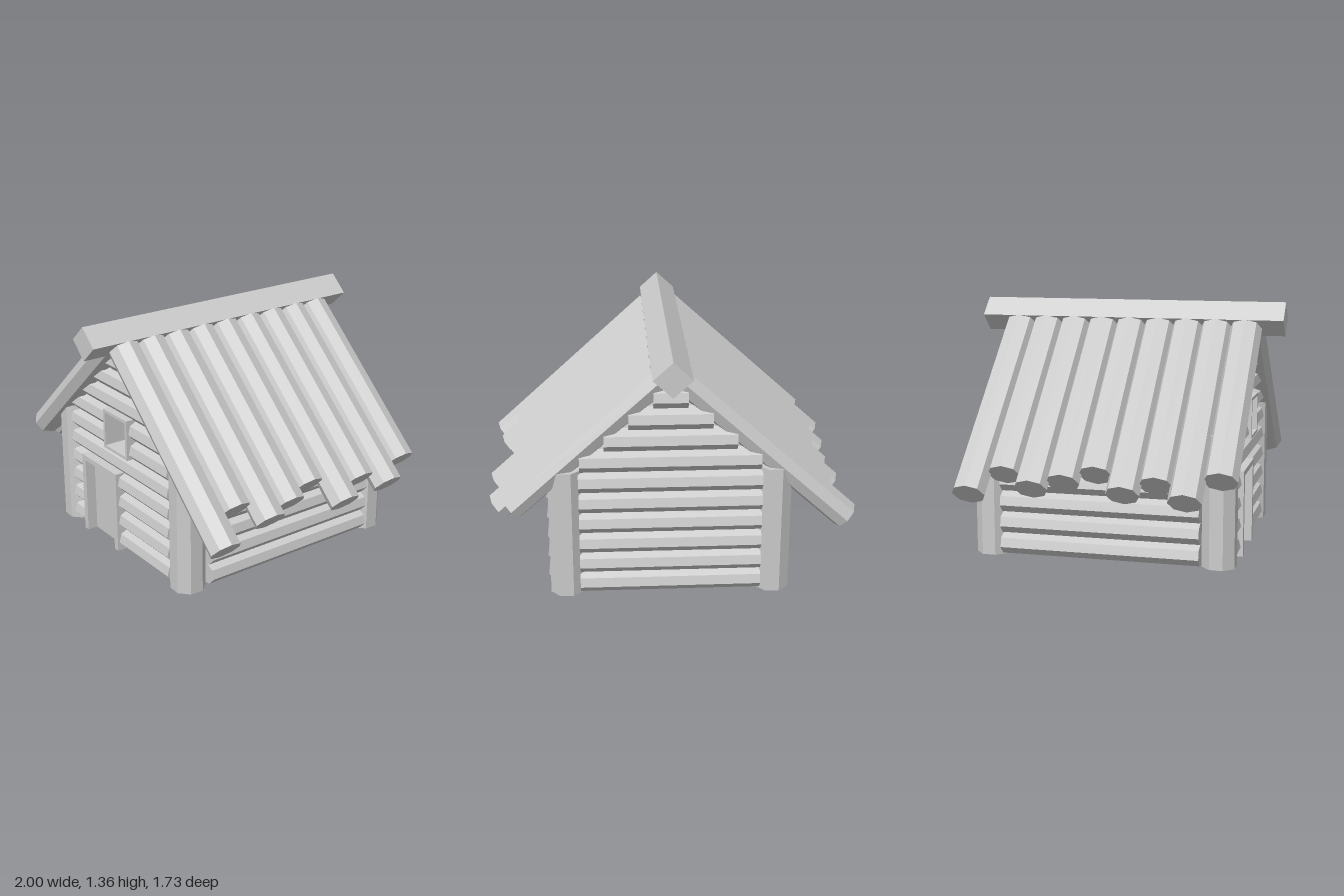
import * as THREE from 'three';

const mat = new THREE.MeshStandardMaterial({ color: 0xcccccc, flatShading: true });
const PITCH = 0.117, BASE = 0.065, SLOPE = 0.908, RIDGE_Y = 1.265;

function add(parent, name, geo, x = 0, y = 0, z = 0) {
  const m = new THREE.Mesh(geo, mat);
  m.name = name;
  m.position.set(x, y, z);
  parent.add(m);
  return m;
}

function box(parent, name, x0, x1, y0, y1, z0, z1) {
  return add(parent, name, new THREE.BoxGeometry(x1 - x0, y1 - y0, z1 - z0),
    (x0 + x1) / 2, (y0 + y1) / 2, (z0 + z1) / 2);
}

// Eight-sided wall log lying along x between x0 and x1
function wallLog(parent, x0, x1, y) {
  const geo = new THREE.CylinderGeometry(1, 1, x1 - x0, 8);
  geo.rotateY(-0.22);
  geo.scale(0.066, 1, 0.09);
  geo.rotateZ(Math.PI / 2);
  add(parent, 'wallLog', geo, (x0 + x1) / 2, y, 0);
}

// Stack of logs facing +z; spans(y, i) lists the [x0, x1] pieces of each course
function wall(parent, name, courses, spans) {
  const g = new THREE.Group();
  g.name = name;
  for (let i = 0; i < courses; i++) {
    const y = BASE + i * PITCH;
    for (const [a, b] of spans(y, i)) wallLog(g, a, b, y);
  }
  parent.add(g);
  return g;
}

export function createModel() {
  const cabin = new THREE.Group();
  cabin.name = 'logCabin';

  // Gable walls, narrowing under the roof; the front is cut for door and window
  const half = (y) => Math.min(0.485, (1.2 - y) / SLOPE);
  const front = wall(cabin, 'frontWall', 10, (y, i) => {
    const h = half(y);
    if (i < 4) return [[-h, -0.34], [-0.02, h]];
    if (i === 5 || i === 6) return [[-h, -0.1], [0.115, h]];
    return [[-h, h]];
  });
  front.position.set(-0.005, 0, 0.6);
  const back = wall(cabin, 'backWall', 10, (y) => [[-half(y), half(y)]]);
  back.position.set(-0.005, 0, -0.66);
  back.rotation.y = Math.PI;

  // Side walls
  for (const s of [-1, 1]) {
    const side = wall(cabin, s > 0 ? 'leftWall' : 'rightWall', 6, () => [[-0.548, 0.548]]);
    side.position.set(s * 0.572 - 0.005, 0, -0.0375);
    side.rotation.y = s * Math.PI / 2;
  }

  // Corner posts
  for (const x of [-0.56, 0.55]) {
    for (const z of [0.605, -0.655]) {
      const post = add(cabin, 'cornerPost', new THREE.CylinderGeometry(0.096, 0.096, 0.72, 8), x, 0.36, z);
      post.rotation.y = 0.35;
    }
  }

  // Door with frame
  const door = new THREE.Group();
  door.name = 'door';
  cabin.add(door);
  box(door, 'doorFrameSide', -0.36, -0.325, 0, 0.475, 0.52, 0.7);
  box(door, 'doorFrameSide', -0.035, 0, 0, 0.475, 0.52, 0.7);
  box(door, 'doorFrameTop', -0.325, -0.035, 0.445, 0.475, 0.52, 0.7);
  box(door, 'doorPanel', -0.325, -0.035, 0, 0.445, 0.59, 0.64);

  // Open window frame
  const outline = new THREE.Shape();
  outline.moveTo(-0.11, 0.605).lineTo(0.125, 0.605).lineTo(0.125, 0.835).lineTo(-0.11, 0.835).closePath();
  const hole = new THREE.Path();
  hole.moveTo(-0.093, 0.622).lineTo(-0.093, 0.818).lineTo(0.108, 0.818).lineTo(0.108, 0.622).closePath();
  outline.holes.push(hole);
  add(cabin, 'windowFrame', new THREE.ExtrudeGeometry(outline, { depth: 0.18, bevelEnabled: false }), 0, 0, 0.52);

  // Roof logs with uneven eaves, listed from back to front
  const reach = {
    '-1': [1.0, 0.9, 0.96, 0.925, 0.88, 0.965, 0.915, 0.985, 0.88],
    '1': [0.885, 0.965, 0.91, 0.98, 0.865, 0.91, 0.95, 0.865, 1.0],
  };
  const pitchAngle = Math.atan(SLOPE);
  for (const s of [-1, 1]) {
    const roof = new THREE.Group();
    roof.name = s > 0 ? 'leftRoof' : 'rightRoof';
    cabin.add(roof);
    reach[s].forEach((r, i) => {
      const xEnd = r - 0.052 + s * 0.005, xTop = 0.055;
      const geo = new THREE.CylinderGeometry(1, 1, (xEnd - xTop) / Math.cos(pitchAngle), 8);
      geo.scale(0.0775, 1, 0.09);
      const xm = (xEnd + xTop) / 2;
      const log = add(roof, 'roofLog', geo, s * xm - 0.005, RIDGE_Y - SLOPE * xm, (i - 4) * 0.163);
      log.rotation.z = s * (Math.PI / 2 - pitchAngle);
    });
  }

  // Diamond-section ridge beam
  const ridge = new THREE.CylinderGeometry(1, 1, 1.73, 4);
  ridge.rotateX(Math.PI / 2);
  ridge.scale(0.103, 0.094, 1);
  add(cabin, 'ridgeBeam', ridge, -0.008, RIDGE_Y + 0.002, 0);

  return cabin;
}
